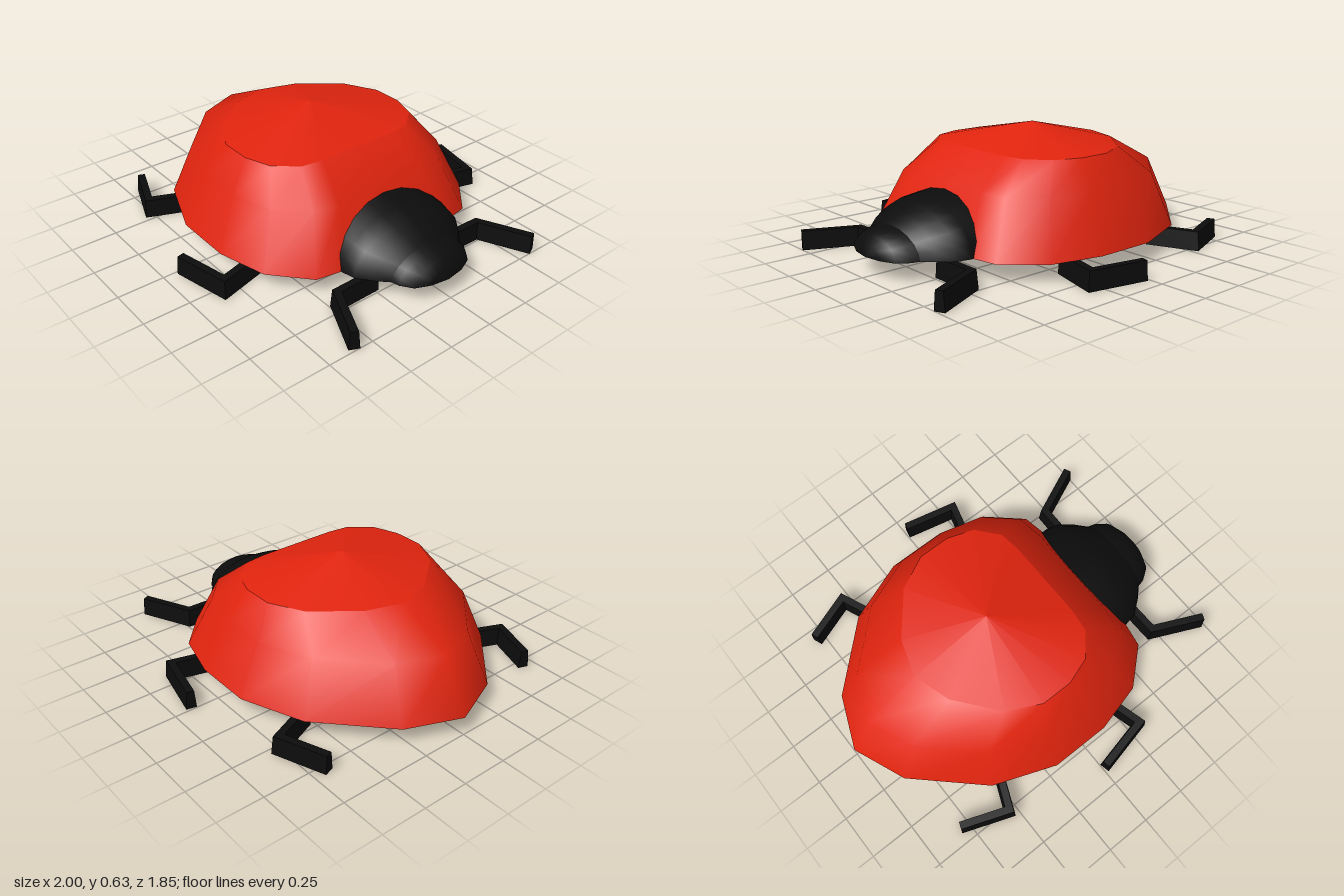
import * as THREE from 'three';

const red = new THREE.MeshStandardMaterial({ color: 0xe0240e, side: THREE.DoubleSide });
const black = new THREE.MeshStandardMaterial({ color: 0x0c0c0c, side: THREE.DoubleSide });
const blackFlat = new THREE.MeshStandardMaterial({ color: 0x0c0c0c, flatShading: true });

// Skin a list of equal-length rings of [x, y, z] points
function loft(name, rings, material, closed) {
  const n = rings[0].length;
  const index = [];
  for (let i = 0; i < rings.length - 1; i++) {
    for (let j = 0; j < (closed ? n : n - 1); j++) {
      const k = (j + 1) % n;
      const a = i * n + j, b = i * n + k, c = a + n, d = b + n;
      index.push(a, c, b, b, c, d);
    }
  }
  let geo = new THREE.BufferGeometry();
  geo.setAttribute('position', new THREE.Float32BufferAttribute(rings.flat(2), 3));
  geo.setIndex(index);
  if (material.flatShading) geo = geo.toNonIndexed();
  geo.computeVertexNormals();
  const mesh = new THREE.Mesh(geo, material);
  mesh.name = name;
  return mesh;
}

// Half of the teardrop rim outline, front to tail
const rimHalf = [
  [0.62, 0], [0.62, 0.33], [0.59, 0.5], [0.4, 0.67], [0.13, 0.74],
  [-0.2, 0.74], [-0.54, 0.61], [-0.88, 0.29], [-1, 0],
];
const rim = [...rimHalf, ...rimHalf.slice(1, -1).reverse().map(([x, z]) => [x, -z])];

// Rim outline fitted between x0 and x1, with its width scaled
const shellRing = (y, x0, x1, sz) =>
  rim.map(([x, z]) => [x0 + ((x + 1) / 1.62) * (x1 - x0), y, z * sz]);

// Half arch across x, standing on the y = 0.1 plane
function arch(x, height, halfWidth, steps = 10) {
  return Array.from({ length: steps + 1 }, (_, i) => {
    const a = (i / steps) * Math.PI;
    return [x, 0.1 + height * Math.sin(a), halfWidth * Math.cos(a)];
  });
}

// Bent bar with a trapezoid section and mitred knee
function leg(name, path) {
  const pts = path.map(([x, z]) => new THREE.Vector2(x, z));
  const dirs = [0, 1].map((i) => pts[i + 1].clone().sub(pts[i]).normalize());
  const rings = pts.map((p, i) => {
    const d0 = dirs[Math.max(i - 1, 0)], d1 = dirs[Math.min(i, 1)];
    const d = d0.clone().add(d1).normalize();
    const miter = 1 / d.dot(d0);
    const corner = (w, y) => [p.x - d.y * w * miter, y, p.y + d.x * w * miter];
    return [corner(0.028, 0), corner(0.02, 0.1), corner(-0.02, 0.1), corner(-0.028, 0)];
  });
  const cap = (p) => Array(4).fill([p.x, 0.05, p.y]);
  return loft(name, [cap(pts[0]), ...rings, cap(pts[2])], blackFlat, true);
}

export function createModel() {
  const model = new THREE.Group();
  model.name = 'beetle';

  // Hollow domed shell: curved sides and a shallow peaked cap
  const shoulder = shellRing(0.53, -0.55, 0.3, 0.69);
  model.add(loft('shellSides', [
    shellRing(0.1, -1, 0.62, 1),
    shellRing(0.38, -0.86, 0.49, 0.835),
    shoulder,
  ], red, true));
  model.add(loft('shellCap', [shoulder, rim.map(() => [-0.09, 0.635, 0])], red, true));

  // Hollow head and snout: [x, height, half width]
  model.add(loft('head', [
    [0.5, 0.255, 0.365], [0.62, 0.235, 0.365], [0.69, 0.21, 0.35],
    [0.77, 0.17, 0.29], [0.83, 0.13, 0.23],
  ].map((r) => arch(...r)), black, false));
  model.add(loft('snout', [
    [0.8, 0.135, 0.24], [0.87, 0.122, 0.222], [0.93, 0.098, 0.18],
    [0.965, 0.05, 0.1], [0.98, 0, 0],
  ].map((r) => arch(...r)), black, false));

  // Legs: body end, knee, foot as [x, z], mirrored across z
  const legs = {
    frontLeg: [[0.71, 0.23], [0.715, 0.475], [0.99, 0.6]],
    middleLeg: [[0.235, 0.58], [0.305, 0.835], [0.01, 0.9]],
    rearLeg: [[-0.445, 0.53], [-0.545, 0.765], [-0.8, 0.67]],
  };
  for (const [name, path] of Object.entries(legs)) {
    for (const s of [1, -1]) {
      model.add(leg(name, path.map(([x, z]) => [x, z * s])));
    }
  }
  return model;
}
